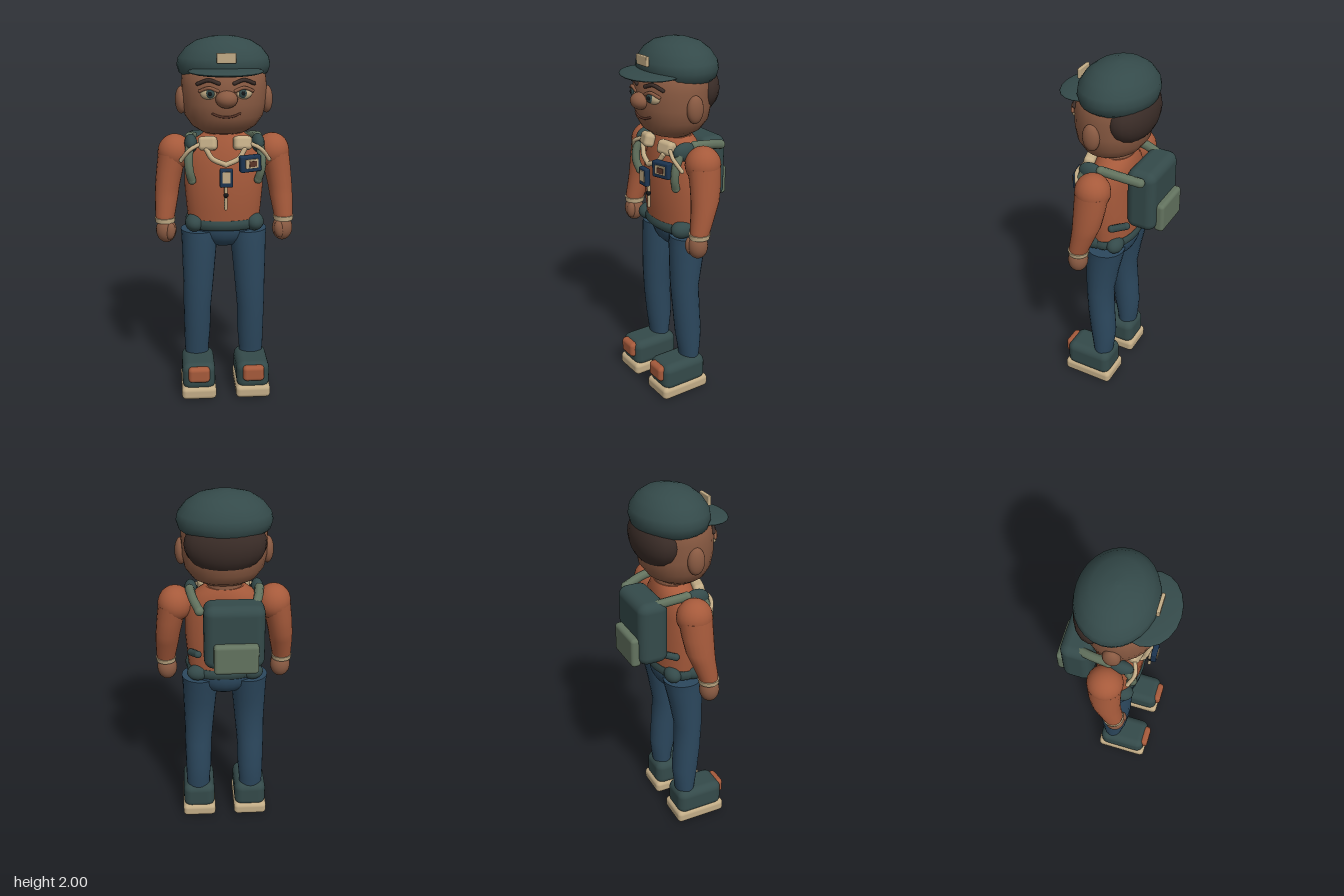
import * as THREE from 'three';
import { RoundedBoxGeometry } from 'three/addons/geometries/RoundedBoxGeometry.js';

const mat = (name, color) => new THREE.MeshStandardMaterial({ name, color });
const M = {
  green: mat('dark green', 0x344a4a),
  moss: mat('moss green', 0x63735f),
  rust: mat('rust shirt', 0xa65a3b),
  skin: mat('skin', 0x895a42),
  denim: mat('denim', 0x2c485e),
  cream: mat('cream', 0xc2ac86),
  hair: mat('dark brown hair', 0x3b2d28),
  navy: mat('navy', 0x1c3450),
  mouth: mat('mouth brown', 0x5a3528),
  black: mat('black', 0x141618),
};

// Stacked oval rings [x, y, z, rx, rz], bottom to top, with flat end caps
function loft(rings, n = 20) {
  const pos = [], idx = [];
  const ring = ([x, y, z, rx, rz]) => {
    for (let i = 0; i < n; i++) {
      const a = (i / n) * Math.PI * 2;
      pos.push(x + rx * Math.sin(a), y, z + rz * Math.cos(a));
    }
  };
  rings.forEach(ring);
  for (let j = 0; j < rings.length - 1; j++) {
    for (let i = 0; i < n; i++) {
      const a = j * n + i, b = j * n + (i + 1) % n;
      idx.push(a, b, b + n, a, b + n, a + n);
    }
  }
  [rings[0], rings[rings.length - 1]].forEach((r, top) => {
    const base = pos.length / 3;
    ring(r);
    pos.push(r[0], r[1], r[2]);
    for (let i = 0; i < n; i++) {
      const a = base + i, b = base + (i + 1) % n;
      idx.push(...(top ? [a, b, base + n] : [b, a, base + n]));
    }
  });
  const g = new THREE.BufferGeometry();
  g.setAttribute('position', new THREE.Float32BufferAttribute(pos, 3));
  g.setIndex(idx);
  g.computeVertexNormals();
  return g;
}

export function createModel() {
  const root = new THREE.Group();
  root.name = 'hiker';
  const add = (name, geo, material, p = [0, 0, 0], rot = [0, 0, 0]) => {
    const m = new THREE.Mesh(geo, material);
    m.name = name;
    m.position.set(...p);
    m.rotation.set(...rot);
    root.add(m);
    return m;
  };
  const ball = (name, material, p, r, rot) =>
    add(name, new THREE.SphereGeometry(1, 20, 14), material, p, rot).scale.set(...r);
  const box = (name, material, p, s, r, rot) =>
    add(name, new RoundedBoxGeometry(...s, 3, r), material, p, rot);
  const tube = (name, material, pts, r) => {
    const curve = new THREE.CatmullRomCurve3(pts.map(p => new THREE.Vector3(...p)));
    add(name, new THREE.TubeGeometry(curve, 14, r, 8), material);
    for (const p of [pts[0], pts[pts.length - 1]]) ball(name + 'End', material, p, [r, r, r]);
  };

  // Head, neck and hair
  add('head', loft([
    [0, 1.49, 0.03, 0.06, 0.05], [0, 1.502, 0.03, 0.12, 0.1], [0, 1.535, 0.025, 0.172, 0.15],
    [0, 1.59, 0.02, 0.21, 0.185], [0, 1.66, 0.02, 0.224, 0.196], [0, 1.75, 0.02, 0.227, 0.196],
    [0, 1.82, 0.01, 0.22, 0.185], [0, 1.87, 0, 0.18, 0.15],
  ], 28), M.skin);
  add('neck', loft([[0, 1.4, -0.005, 0.11, 0.09], [0, 1.48, 0, 0.095, 0.085], [0, 1.56, 0, 0.095, 0.085]]), M.skin);
  ball('hair', M.hair, [0, 1.745, -0.09], [0.212, 0.155, 0.122]);

  // Cap with visor and badge
  add('cap', loft([
    [0, 1.79, -0.01, 0.212, 0.172], [0, 1.81, -0.01, 0.237, 0.19], [0, 1.85, -0.01, 0.249, 0.201],
    [0, 1.89, -0.01, 0.24, 0.195], [0, 1.94, -0.01, 0.2, 0.163], [0, 1.975, -0.01, 0.145, 0.118],
    [0, 1.994, -0.01, 0.07, 0.06], [0, 2, -0.01, 0.01, 0.01],
  ], 28), M.green);
  ball('visor', M.green, [0, 1.83, 0.15], [0.195, 0.019, 0.15], [0.05, 0, 0]);
  box('capBadge', M.cream, [0, 1.9, 0.196], [0.1, 0.052, 0.018], 0.005);

  // Face
  ball('nose', M.skin, [0, 1.695, 0.215], [0.057, 0.045, 0.05]);
  tube('mouth', M.mouth, [[-0.07, 1.62, 0.199], [-0.035, 1.607, 0.206], [0, 1.603, 0.207], [0.035, 1.607, 0.206], [0.07, 1.62, 0.199]], 0.006);
  for (const s of [-1, 1]) {
    ball('ear', M.skin, [s * 0.227, 1.67, 0.03], [0.033, 0.073, 0.047]);
    ball('eyeWhite', M.cream, [s * 0.09, 1.722, 0.191], [0.044, 0.03, 0.022], [0, s * 0.3, 0]);
    ball('iris', M.green, [s * 0.084, 1.724, 0.209], [0.023, 0.023, 0.01], [0, s * 0.3, 0]);
    ball('pupil', M.black, [s * 0.084, 1.725, 0.216], [0.011, 0.011, 0.007]);
    tube('eyelid', M.skin, [[s * 0.135, 1.735, 0.186], [s * 0.09, 1.752, 0.207], [s * 0.045, 1.737, 0.211]], 0.009);
    tube('eyebrow', M.hair, [[s * 0.145, 1.77, 0.17], [s * 0.09, 1.79, 0.194], [s * 0.04, 1.775, 0.208]], 0.01);
  }

  // Torso and waist
  add('shirt', loft([
    [0, 0.99, 0.01, 0.195, 0.118], [0, 1.08, 0.012, 0.205, 0.125], [0, 1.2, 0.015, 0.215, 0.128],
    [0, 1.33, 0.012, 0.215, 0.122], [0, 1.41, 0.005, 0.195, 0.112], [0, 1.46, 0, 0.15, 0.1], [0, 1.49, 0, 0.105, 0.088],
  ], 28), M.rust);
  add('belt', loft([
    [0, 0.965, 0.01, 0.195, 0.115], [0, 0.98, 0.01, 0.208, 0.13], [0, 1.005, 0.01, 0.21, 0.132], [0, 1.022, 0.01, 0.2, 0.122],
  ], 28), M.green);
  ball('hips', M.denim, [0, 0.965, 0], [0.17, 0.12, 0.11]);

  for (const s of [-1, 1]) {
    ball('hipPouch', M.green, [s * 0.165, 1.0, 0.06], [0.052, 0.05, 0.07]);
    ball('rearPouch', M.green, [s * 0.15, 0.995, -0.062], [0.06, 0.045, 0.045]);

    // Arms
    ball('shoulder', M.rust, [s * 0.265, 1.385, 0.005], [0.093, 0.098, 0.095]);
    add('sleeve', loft([
      [s * 0.325, 1.025, 0.063, 0.05, 0.05], [s * 0.324, 1.05, 0.06, 0.054, 0.055], [s * 0.314, 1.15, 0.032, 0.064, 0.069],
      [s * 0.309, 1.2, 0.02, 0.067, 0.078], [s * 0.295, 1.29, 0.01, 0.073, 0.086], [s * 0.275, 1.38, 0.005, 0.082, 0.091],
    ]), M.rust);
    add('cuff', loft([[s * 0.325, 1.01, 0.065, 0.053, 0.054], [s * 0.325, 1.035, 0.063, 0.057, 0.058]]), M.cream);
    ball('hand', M.skin, [s * 0.32, 0.965, 0.072], [0.056, 0.07, 0.054]);
    ball('thumb', M.skin, [s * 0.298, 0.965, 0.105], [0.028, 0.048, 0.026], [0, 0, s * 0.1]);

    // Legs
    add('trouserLeg', loft([
      [s * 0.155, 0.18, 0.012, 0.066, 0.052], [s * 0.157, 0.24, 0.012, 0.069, 0.06], [s * 0.153, 0.35, 0.015, 0.075, 0.075],
      [s * 0.152, 0.5, 0.027, 0.078, 0.077], [s * 0.145, 0.65, 0.035, 0.085, 0.078], [s * 0.14, 0.8, 0.022, 0.094, 0.093],
      [s * 0.136, 0.9, 0.01, 0.1, 0.104], [s * 0.136, 0.95, 0.003, 0.104, 0.107],
    ]), M.denim);

    // Shoes
    box('sole', M.cream, [s * 0.153, 0.0375, 0.085], [0.195, 0.075, 0.3], 0.025);
    box('shoeUpper', M.green, [s * 0.153, 0.13, 0.085], [0.185, 0.16, 0.278], 0.045);
    box('toePatch', M.rust, [s * 0.153, 0.155, 0.222], [0.12, 0.09, 0.05], 0.022);

    // Backpack straps
    tube('upperStrap', M.moss, [[s * 0.185, 1.465, 0], [s * 0.17, 1.45, -0.1], [s * 0.14, 1.425, -0.2]], 0.025);
    tube('frontStrap', M.moss, [[s * 0.185, 1.44, 0.09], [s * 0.195, 1.37, 0.125], [s * 0.19, 1.3, 0.13], [s * 0.178, 1.25, 0.115]], 0.023);
    ball('shoulderPad', M.green, [s * 0.18, 1.44, 0.06], [0.035, 0.05, 0.07]);
    tube('lowerStrap', M.green, [[s * 0.185, 1.12, -0.06], [s * 0.15, 1.14, -0.13]], 0.02);

    // Collar and cords
    box('collar', M.cream, [s * 0.092, 1.45, 0.115], [0.1, 0.075, 0.06], 0.022, [-0.25, s * 0.25, 0]);
    tube('neckCord', M.cream, [[s * 0.1, 1.42, 0.14], [s * 0.07, 1.375, 0.155], [0, 1.345, 0.17]], 0.014);
    tube('sideCord', M.cream, [[s * 0.13, 1.45, 0.12], [s * 0.19, 1.42, 0.14], [s * 0.235, 1.36, 0.115]], 0.011);
  }

  // Hanging tag with tassel
  box('tag', M.navy, [0, 1.28, 0.195], [0.07, 0.1, 0.03], 0.008);
  box('tagCard', M.cream, [0, 1.285, 0.211], [0.042, 0.06, 0.008], 0.002);
  tube('tassel', M.cream, [[0, 1.3, 0.17], [0, 1.2, 0.17], [0, 1.105, 0.17]], 0.009);
  ball('tasselKnot', M.black, [0, 1.18, 0.172], [0.014, 0.014, 0.014]);

  // Chest badge
  box('chestBadge', M.navy, [0.128, 1.35, 0.165], [0.115, 0.088, 0.04], 0.008, [0, 0.25, 0.04]);
  box('badgeCard', M.cream, [0.136, 1.352, 0.186], [0.07, 0.048, 0.008], 0.002, [0, 0.25, 0.04]);
  box('badgePicture', M.mouth, [0.142, 1.352, 0.19], [0.042, 0.03, 0.006], 0.001, [0, 0.25, 0.04]);

  // Backpack
  box('backpack', M.green, [-0.04, 1.283, -0.183], [0.32, 0.355, 0.165], 0.05);
  box('backpackPocket', M.moss, [-0.047, 1.183, -0.275], [0.235, 0.165, 0.055], 0.02);

  return root;
}
